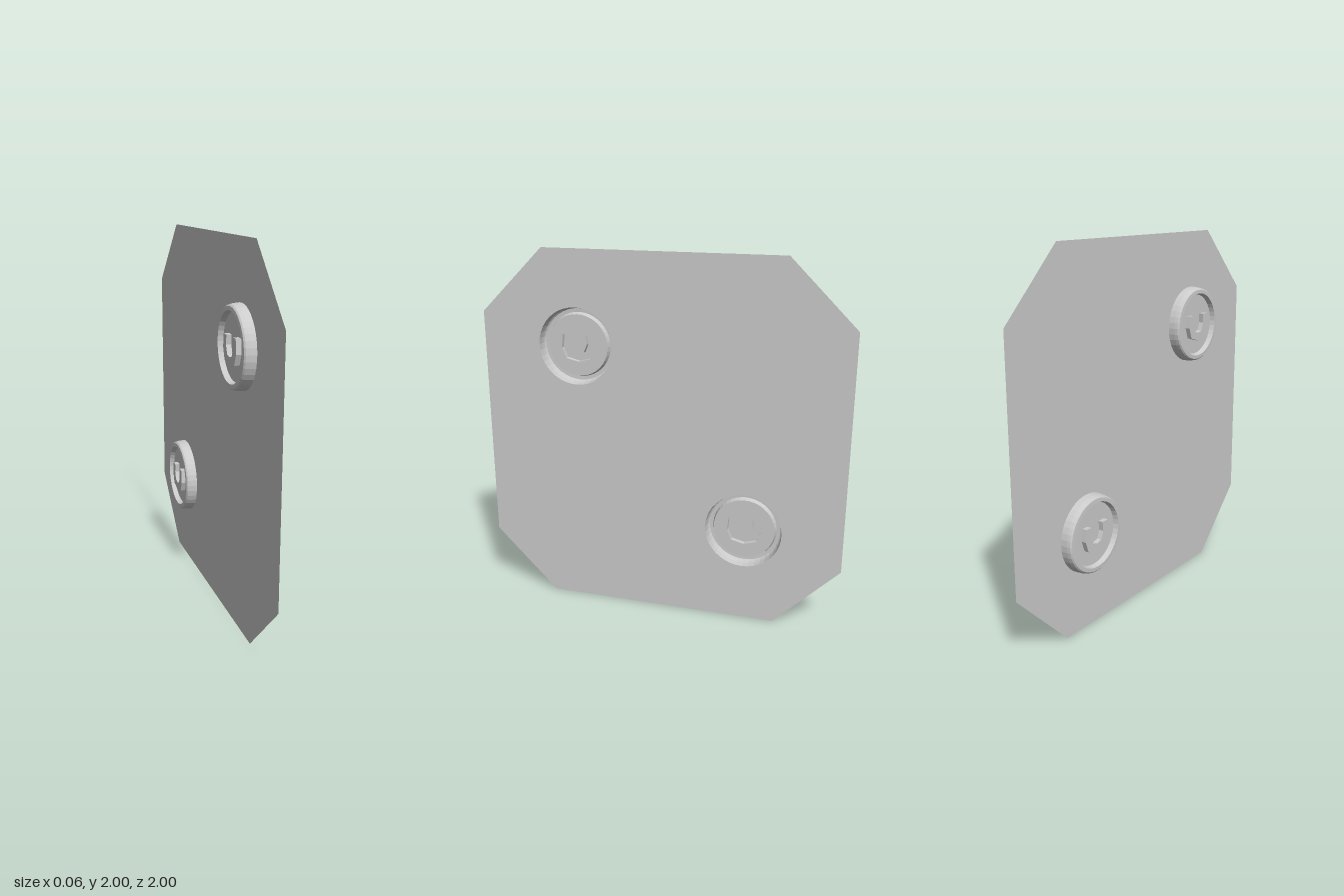
import * as THREE from 'three';

const material = new THREE.MeshStandardMaterial({
  color: 0xcccccc, flatShading: true, side: THREE.DoubleSide,
});

const SEGMENTS = 40;
const RADIUS = 0.21;    // outer radius of a dish
const FACE = 0.03;      // level of the sheet
const DISC = -0.003;    // level of the dish centre
const FLOOR = -0.03;    // deepest level
const DISHES = [[-0.47, 1.485], [0.465, 0.525]];

function part(name, geometry) {
  const mesh = new THREE.Mesh(geometry, material);
  mesh.name = name;
  return mesh;
}

function circlePoints(cx, cy, r) {
  return Array.from({ length: SEGMENTS }, (_, i) => {
    const a = (i / SEGMENTS) * Math.PI * 2;
    return new THREE.Vector2(cx + r * Math.cos(a), cy + r * Math.sin(a));
  });
}

// Flat face of an outline at a given level
function flatFace(outline, holes, z) {
  const shape = new THREE.Shape(outline);
  holes.forEach((h) => shape.holes.push(new THREE.Path(h)));
  return new THREE.ShapeGeometry(shape).translate(0, 0, z);
}

// Open wall following a closed outline between two levels
function wall(outline, z0, z1) {
  const positions = [];
  outline.forEach((p, i) => {
    const q = outline[(i + 1) % outline.length];
    positions.push(p.x, p.y, z0, q.x, q.y, z0, q.x, q.y, z1);
    positions.push(p.x, p.y, z0, q.x, q.y, z1, p.x, p.y, z1);
  });
  const geometry = new THREE.BufferGeometry();
  geometry.setAttribute('position', new THREE.Float32BufferAttribute(positions, 3));
  geometry.computeVertexNormals();
  return geometry;
}

// Horseshoe outline, relative to the dish centre
const horseshoe = [
  [-0.087, 0.057], [-0.093, -0.018], [-0.07, -0.074], [0, -0.091], [0.07, -0.071],
  [0.092, -0.011], [0.083, 0.055], [0.045, 0.054], [0.05, 0.005], [0.032, -0.038],
  [0, -0.046], [-0.032, -0.038], [-0.05, 0.005], [-0.045, 0.056],
].map(([x, y]) => new THREE.Vector2(x, y));

// Pressed dish: rounded wall, ring groove, raised centre and sunken horseshoe
function createDish() {
  const dish = new THREE.Group();
  dish.name = 'dish';
  const profile = [
    [0.168, DISC], [0.176, FLOOR], [0.196, -0.029], [0.203, -0.022],
    [0.207, -0.005], [RADIUS, FACE],
  ].map(([r, z]) => new THREE.Vector2(r, z));
  // Turn the lathe so its vertices meet those of the holes in the sheet
  const rim = new THREE.LatheGeometry(profile, SEGMENTS).rotateX(Math.PI / 2);
  dish.add(
    part('dishRim', rim),
    part('dishCentre', flatFace(circlePoints(0, 0, 0.168), [horseshoe], DISC)),
    part('horseshoeWall', wall(horseshoe, FLOOR, DISC)),
    part('horseshoeFloor', flatFace(horseshoe, [], FLOOR)),
  );
  return dish;
}

export function createModel() {
  const model = new THREE.Group();
  model.name = 'pressedPanel';

  // Thin sheet with cut corners, open where the dishes are
  const outline = [
    [-0.647, 0], [0.647, 0], [1, 0.355], [1, 1.65],
    [0.647, 2], [-0.647, 2], [-1, 1.65], [-1, 0.355],
  ].map(([x, y]) => new THREE.Vector2(x, y));
  const holes = DISHES.map(([x, y]) => circlePoints(x, y, RADIUS));
  model.add(part('sheet', flatFace(outline, holes, FACE)));

  DISHES.forEach(([x, y]) => {
    const dish = createDish();
    dish.position.set(x, y, 0);
    model.add(dish);
  });

  // The sheet faces sideways, towards +x
  model.rotation.y = Math.PI / 2;
  const root = new THREE.Group();
  root.name = 'panel';
  root.add(model);
  return root;
}
